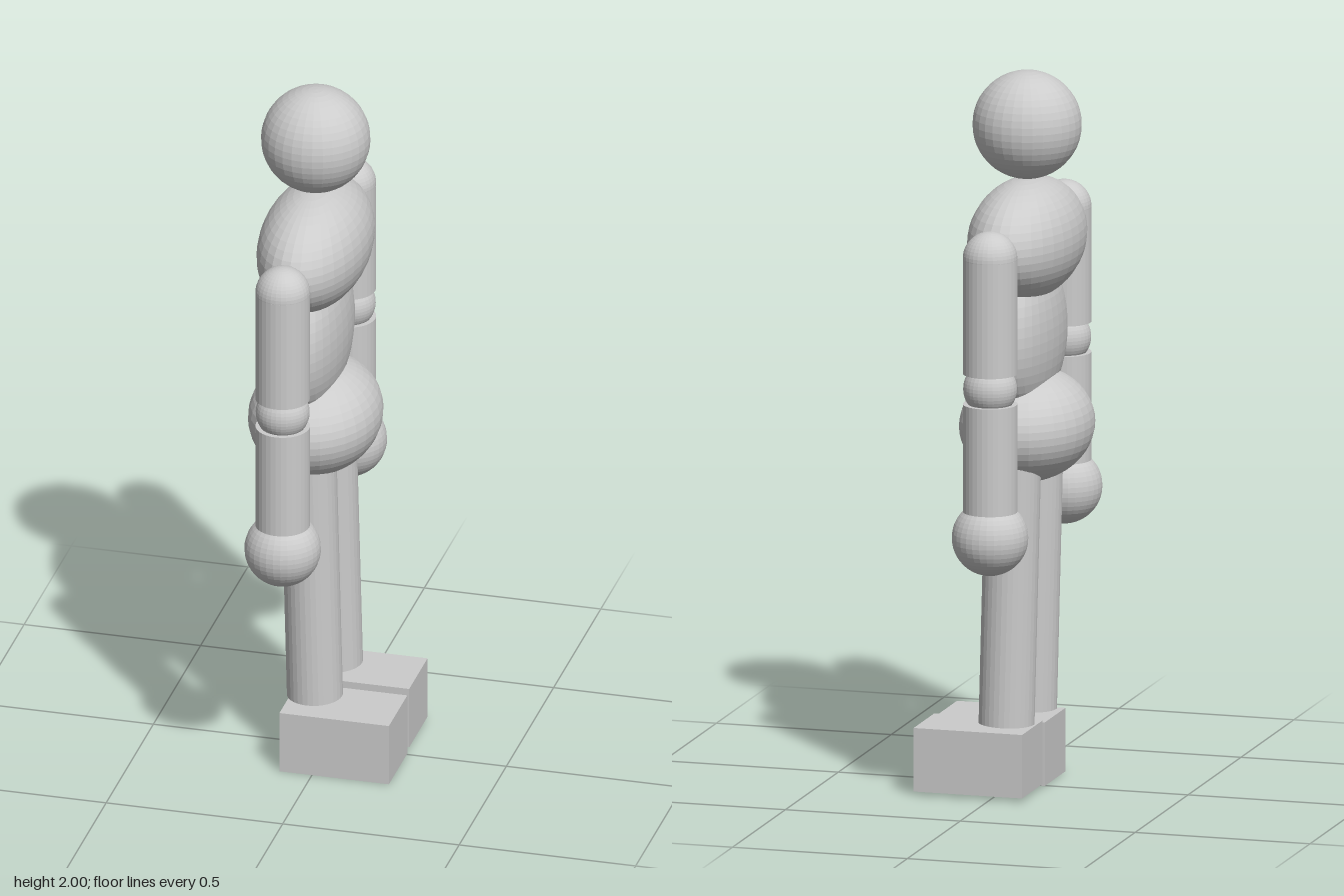
import * as THREE from 'three';

const CX = -0.04; // body axis; the feet point towards +x

export function createModel() {
  const group = new THREE.Group();
  const mat = new THREE.MeshStandardMaterial({ color: 0xcccccc, flatShading: true });

  const add = (name, geo, x, y, z) => {
    const mesh = new THREE.Mesh(geo, mat);
    mesh.name = name;
    mesh.position.set(x, y, z);
    group.add(mesh);
    return mesh;
  };

  const ellipsoid = (name, y, z, rx, ry = rx, rz = rx) =>
    add(name, new THREE.SphereGeometry(1, 32, 24).scale(rx, ry, rz), CX, y, z);

  // Cylinder between two points
  const limb = (name, a, b, r) => {
    const p = new THREE.Vector3(...a), q = new THREE.Vector3(...b);
    const dir = q.clone().sub(p);
    const mid = p.clone().add(q).multiplyScalar(0.5);
    const mesh = add(name, new THREE.CylinderGeometry(r, r, dir.length(), 32), mid.x, mid.y, mid.z);
    mesh.quaternion.setFromUnitVectors(new THREE.Vector3(0, 1, 0), dir.normalize());
  };

  // Head and torso
  ellipsoid('head', 1.85, 0, 0.15);
  ellipsoid('chest', 1.533, 0, 0.15, 0.167, 0.283);
  ellipsoid('belly', 1.265, 0, 0.092, 0.22, 0.235);
  ellipsoid('pelvis', 1.012, 0, 0.182, 0.157, 0.232);

  // Arms
  for (const [side, z] of [['near', 0.35], ['far', -0.35]]) {
    ellipsoid(side + 'Shoulder', 1.547, z, 0.075);
    limb(side + 'UpperArm', [CX, 1.225, z], [CX, 1.545, z], 0.075);
    ellipsoid(side + 'Elbow', 1.182, z, 0.074);
    limb(side + 'Forearm', [CX, 0.8, z], [CX, 1.14, z], 0.075);
    ellipsoid(side + 'Hand', 0.765, z, 0.105);
  }

  // Slightly leaning legs
  limb('nearLeg', [-0.019, 0.198, 0.087], [-0.037, 1.0, 0.094], 0.077);
  limb('farLeg', [-0.019, 0.198, -0.125], [-0.037, 1.0, -0.116], 0.077);

  // Feet
  const foot = new THREE.BoxGeometry(0.31, 0.178, 0.195);
  add('nearFoot', foot, 0.063, 0.089, 0.0925);
  add('farFoot', foot, 0.063, 0.099, -0.1225);

  return group;
}
